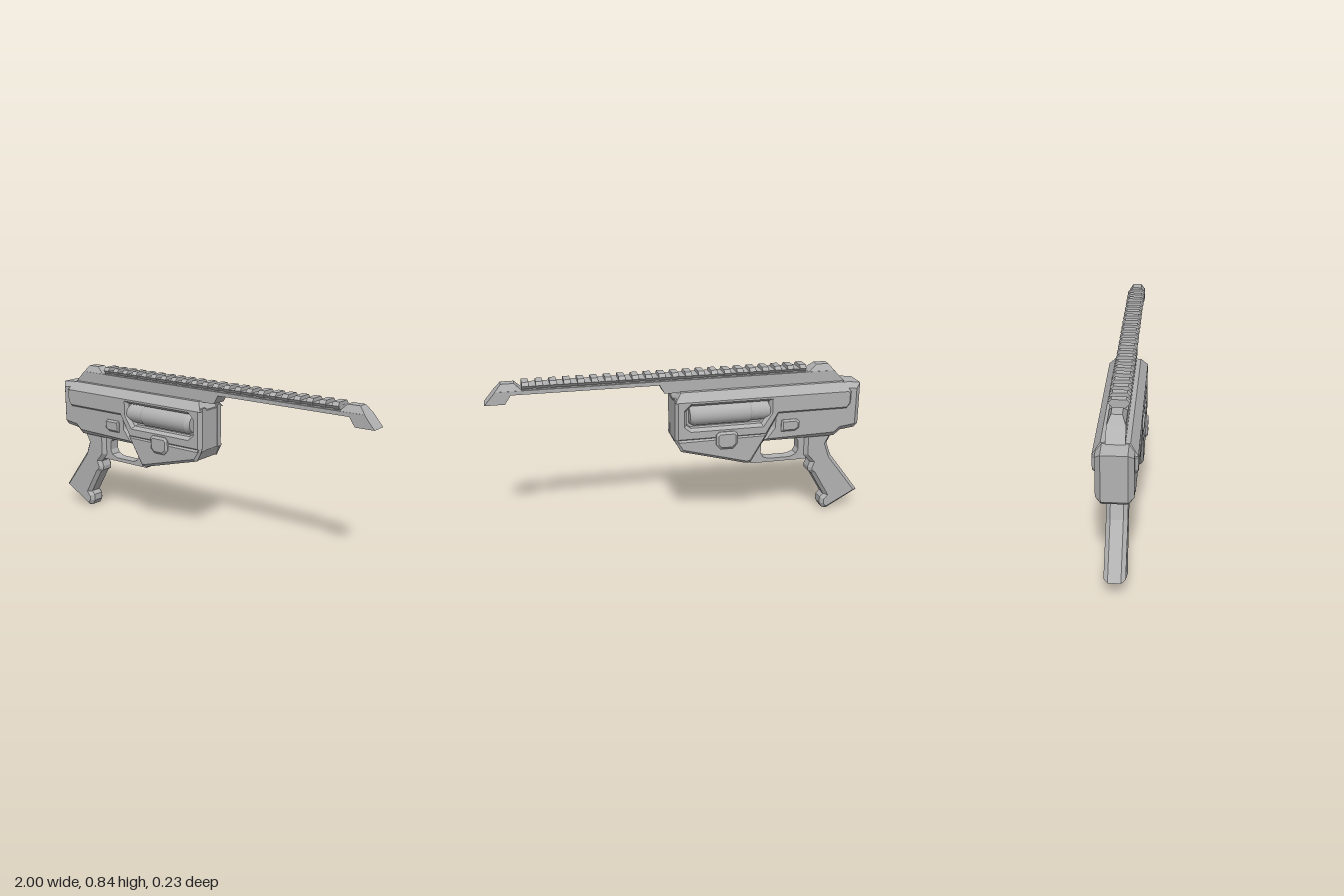
import * as THREE from 'three';

const grey = new THREE.MeshStandardMaterial({ color: 0xb2b2b2 });
grey.name = 'plain grey';

function outline(points, Type = THREE.Shape) {
  return new Type(points.map(([x, y]) => new THREE.Vector2(x, y)));
}

export function createModel() {
  const model = new THREE.Group();

  const add = (name, geometry) => {
    const mesh = new THREE.Mesh(geometry, grey);
    mesh.name = name;
    model.add(mesh);
    return mesh;
  };

  // Side-view outline given thickness from z0 to z1; the bevel cuts inward
  const slab = (name, points, z0, z1, bevel = 0, bevelDepth = bevel, hole = null) => {
    const shape = outline(points);
    if (hole) shape.holes.push(outline(hole, THREE.Path));
    const g = new THREE.ExtrudeGeometry(shape, {
      depth: z1 - z0 - 2 * bevelDepth,
      bevelEnabled: bevel > 0,
      bevelSize: bevel, bevelThickness: bevelDepth, bevelOffset: -bevel, bevelSegments: 1,
    });
    g.translate(0, 0, z0 + bevelDepth);
    return add(name, g);
  };

  // The same slab on both sides of the body
  const pair = (name, points, z0, z1, ...rest) => {
    slab(name + 'Left', points, z0, z1, ...rest);
    slab(name + 'Right', points, -z1, -z0, ...rest);
  };

  // Symmetric cross-section (half width, height) run along x
  const run = (name, half, x0, x1) => {
    const points = [...half, ...half.map(([w, y]) => [-w, y]).reverse()];
    const g = new THREE.ExtrudeGeometry(outline(points), { depth: x1 - x0, bevelEnabled: false });
    g.rotateY(Math.PI / 2).translate(x0, 0, 0);
    return add(name, g);
  };

  // Rear body and inner core
  slab('rearBody', [[-0.965, 0.735], [-0.965, 0.505], [-0.945, 0.485], [-0.865, 0.475],
    [-0.83, 0.445], [-0.41, 0.445], [-0.46, 0.53], [-0.47, 0.742], [-0.9, 0.742]],
    -0.085, 0.085, 0.028, 0.026);
  slab('core', [[-0.5, 0.72], [-0.5, 0.49], [0.054, 0.49], [0.054, 0.705]], -0.05, 0.05);

  // Chamfered roof, sloping down at its front end
  const roof = run('roof', [[0.1, 0.7], [0.065, 0.745]], -0.9, 0.055);
  const rp = roof.geometry.attributes.position;
  for (let i = 0; i < rp.count; i++) {
    if (rp.getY(i) > 0.72) rp.setX(i, rp.getX(i) + (rp.getX(i) > 0 ? -0.035 : 0.03));
  }
  roof.geometry.computeVertexNormals();

  // Raised side panels with a window
  pair('sidePanel', [[-0.89, 0.715], [-0.91, 0.695], [-0.91, 0.63], [-0.885, 0.6], [-0.505, 0.6],
    [-0.44, 0.487], [0.055, 0.487], [0.055, 0.715]], 0.03, 0.1, 0.015, 0.02,
  [[-0.45, 0.675], [-0.03, 0.675], [-0.005, 0.65], [-0.005, 0.575], [-0.03, 0.555],
    [-0.41, 0.555], [-0.45, 0.615]]);

  // Lower walls around the open bottom bay
  pair('lowerWall', [[-0.447, 0.5], [-0.355, 0.34], [-0.325, 0.34], [0.025, 0.432], [0.055, 0.49],
    [0.055, 0.5]], 0.065, 0.1, 0.015, 0.014);
  slab('bayFront', [[0, 0.5], [0, 0.43], [0.025, 0.435], [0.053, 0.495]], -0.08, 0.08);
  slab('bayBack', [[-0.46, 0.52], [-0.36, 0.345], [-0.335, 0.345], [-0.39, 0.52]], -0.08, 0.08);

  // Tubes seen through the windows
  for (const side of [1, -1]) {
    const tube = (name, x0, x1, r0, r1) => {
      const g = new THREE.CylinderGeometry(r1, r0, x1 - x0, 32);
      g.rotateZ(-Math.PI / 2).translate((x0 + x1) / 2, 0.618, side * 0.042);
      add(name, g);
    };
    tube('tubeNeck', -0.455, -0.355, 0.052, 0.052);
    tube('tubeShoulder', -0.355, -0.345, 0.052, 0.058);
    tube('tubeBody', -0.345, -0.05, 0.058, 0.058);
    tube('tubeTip', -0.05, -0.025, 0.058, 0.045);
  }

  // Latches and buttons on both sides
  pair('latchFrame', [[-0.275, 0.515], [-0.26, 0.53], [-0.175, 0.53], [-0.16, 0.515], [-0.16, 0.46],
    [-0.185, 0.435], [-0.25, 0.435], [-0.275, 0.46]], 0.085, 0.115, 0.012, 0.01,
  [[-0.252, 0.5], [-0.183, 0.5], [-0.183, 0.46], [-0.252, 0.46]]);
  pair('latchKey', [[-0.245, 0.495], [-0.19, 0.495], [-0.19, 0.465], [-0.245, 0.465]], 0.085, 0.11);
  pair('button', [[-0.62, 0.55], [-0.605, 0.565], [-0.52, 0.565], [-0.52, 0.5], [-0.595, 0.5],
    [-0.62, 0.515]], 0.075, 0.095, 0.01, 0.008);

  // Trigger guard
  slab('triggerGuard', [[-0.69, 0.46], [-0.69, 0.31], [-0.375, 0.31], [-0.335, 0.345], [-0.4, 0.46]],
    -0.03, 0.03, 0, 0,
    [[-0.64, 0.42], [-0.625, 0.435], [-0.445, 0.435], [-0.43, 0.415], [-0.43, 0.365], [-0.445, 0.34],
      [-0.475, 0.33], [-0.595, 0.33], [-0.63, 0.345], [-0.643, 0.37]]);

  // Grip with finger swells
  slab('grip', [[-0.84, 0.47], [-0.805, 0.395], [-0.83, 0.325], [-1, 0.1], [-0.825, 0.003],
    [-0.8, 0.008], [-0.783, 0.035], [-0.785, 0.07], [-0.803, 0.09], [-0.727, 0.22], [-0.705, 0.238],
    [-0.703, 0.26], [-0.714, 0.29], [-0.675, 0.335], [-0.675, 0.47]], -0.05, 0.05, 0.018, 0.02);

  // Top bar with its front hook
  slab('topBar', [[-0.885, 0.738], [-0.82, 0.805], [0.82, 0.805], [0.945, 0.805], [1, 0.74],
    [0.9, 0.74], [0.87, 0.785], [0.125, 0.785], [0.1, 0.74]], -0.043, 0.043);

  // Tapered humps at both ends of the bar
  const hump = (name, points) => {
    const mesh = slab(name, points, -0.043, 0.043);
    const p = mesh.geometry.attributes.position;
    for (let i = 0; i < p.count; i++) if (p.getY(i) > 0.82) p.setZ(i, p.getZ(i) * 0.58);
    mesh.geometry.computeVertexNormals();
  };
  hump('rearHump', [[-0.825, 0.8], [-0.67, 0.8], [-0.725, 0.84], [-0.79, 0.84]]);
  hump('frontHump', [[0.81, 0.8], [0.95, 0.8], [0.915, 0.84], [0.85, 0.84]]);

  // Rail and its evenly spaced teeth
  run('rail', [[0.034, 0.8], [0.034, 0.812], [0.048, 0.827]], -0.66, 0.815);
  const teeth = 22;
  for (let i = 0; i < teeth; i++) {
    const x = -0.66 + (i * 1.44) / (teeth - 1);
    run('railTooth', [[0.034, 0.81], [0.05, 0.828], [0.034, 0.845]], x, x + 0.034);
  }

  return model;
}
